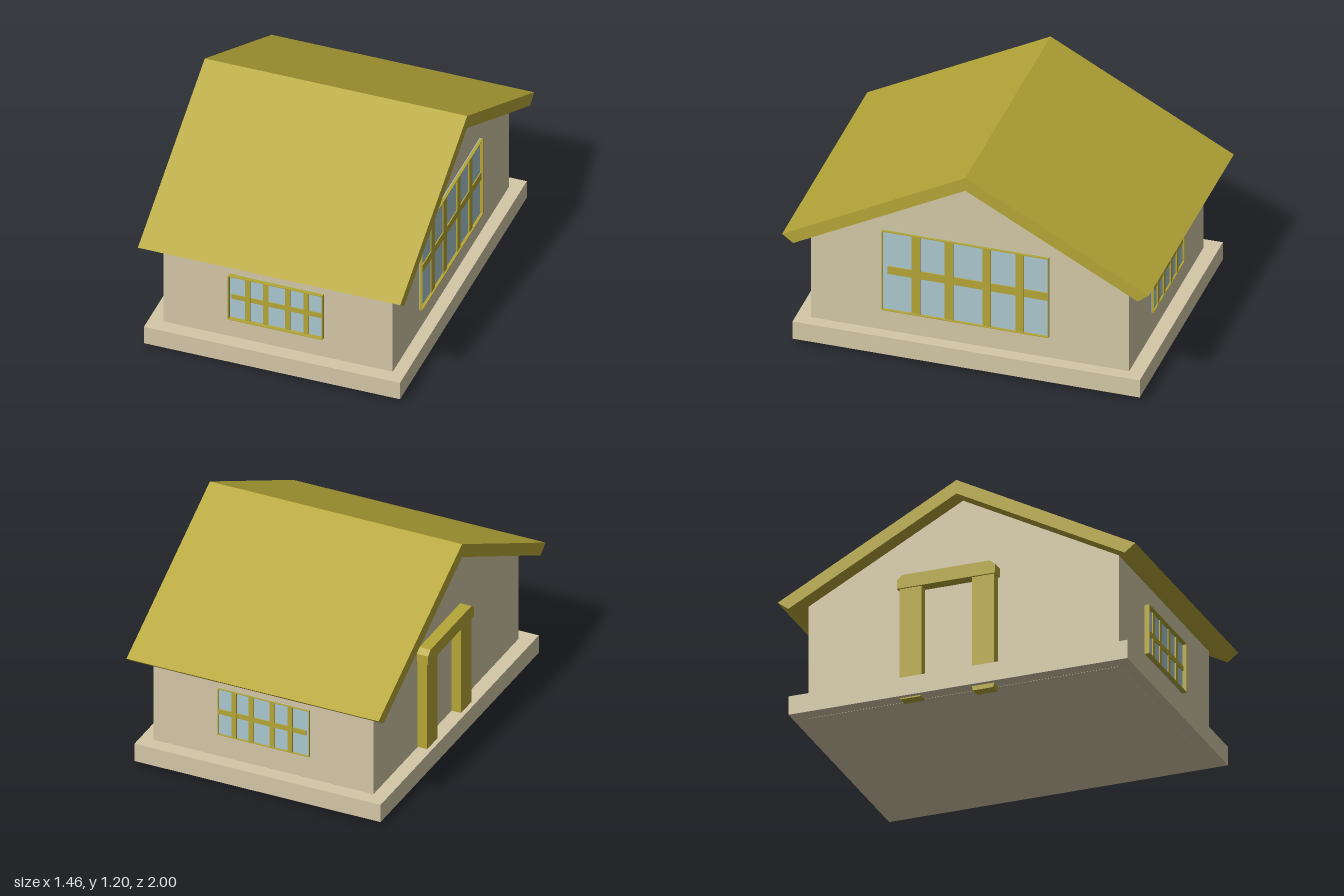
import * as THREE from 'three';

const mat = (color) => new THREE.MeshStandardMaterial({ color, flatShading: true });
const olive = mat(0xb5a637);
const cream = mat(0xd3c7a6);
const glass = mat(0xaac7cf);

function add(parent, name, geometry, material) {
  const mesh = new THREE.Mesh(geometry, material);
  mesh.name = name;
  parent.add(mesh);
  return mesh;
}

// Box given by its minimum and maximum corners
function box(parent, name, [x0, y0, z0], [x1, y1, z1], material) {
  const mesh = add(parent, name, new THREE.BoxGeometry(x1 - x0, y1 - y0, z1 - z0), material);
  mesh.position.set((x0 + x1) / 2, (y0 + y1) / 2, (z0 + z1) / 2);
  return mesh;
}

// Outline of [z, y] points extruded along x from x0 to x1
function alongX(points, x0, x1) {
  const shape = new THREE.Shape(points.map(([z, y]) => new THREE.Vector2(-z, y)));
  const g = new THREE.ExtrudeGeometry(shape, { depth: x1 - x0, bevelEnabled: false });
  return g.rotateY(Math.PI / 2).translate(x0, 0, 0);
}

// Window in its own plane: u to the right, y up, facing +z
function makeWindow(name, { u0, u1, y0, y1, depth, bars, barWidth, crossY, cross }) {
  const group = new THREE.Group();
  group.name = name;
  const t = 0.004;
  box(group, 'glass', [u0, y0, -0.01], [u1, y1, 0.004], glass);
  // Thin raised rim
  box(group, 'rimLeft', [u0, y0, -0.01], [u0 + t, y1, depth], olive);
  box(group, 'rimRight', [u1 - t, y0, -0.01], [u1, y1, depth], olive);
  box(group, 'rimBottom', [u0 + t, y0, -0.01], [u1 - t, y0 + t, depth], olive);
  box(group, 'rimTop', [u0 + t, y1 - t, -0.01], [u1 - t, y1, depth], olive);
  // Glazing bars
  for (const u of bars) {
    box(group, 'verticalBar', [u - barWidth / 2, y0 + t, 0], [u + barWidth / 2, y1 - t, 0.011], olive);
  }
  box(group, 'crossBar', [cross[0], crossY - barWidth / 2, 0], [cross[1], crossY + barWidth / 2, 0.010], olive);
  return group;
}

export function createModel() {
  const house = new THREE.Group();
  house.name = 'house';

  // Plinth and gabled walls
  box(house, 'plinth', [-0.715, 0.025, -0.945], [0.705, 0.13, 0.95], cream);
  const wall = [[-0.865, 0.024], [-0.865, 0.665], [0, 1.126], [0.87, 0.663], [0.87, 0.024]];
  add(house, 'walls', alongX(wall, -0.635, 0.635), cream);

  // Roof slab with square-cut eaves
  const roof = [[-1, 0.67], [-0.94, 0.625], [0, 1.125], [0.94, 0.625], [1, 0.67], [0, 1.203]];
  add(house, 'roof', alongX(roof, -0.73, 0.725), olive);

  // Front and back windows
  const small = {
    u0: -0.27, u1: 0.255, y0: 0.255, y1: 0.535, depth: 0.028,
    bars: [-0.165, -0.065, 0.055, 0.158], barWidth: 0.028, crossY: 0.395, cross: [-0.255, 0.251],
  };
  const front = makeWindow('frontWindow', small);
  front.position.z = 0.87;
  const back = makeWindow('backWindow', { ...small, u0: -0.257, u1: 0.27, depth: 0.014 });
  back.rotation.y = Math.PI;
  back.position.set(0, 0.01, -0.865);

  // Large window in the left gable, where u runs towards -z
  const gable = makeWindow('gableWindow', {
    u0: -0.48, u1: 0.43, y0: 0.26, y1: 0.745, depth: 0.02,
    bars: [-0.295, -0.115, 0.09, 0.27], barWidth: 0.046, crossY: 0.505, cross: [-0.45, 0.426],
  });
  gable.rotation.y = Math.PI / 2;
  gable.position.x = 0.635;
  house.add(front, back, gable);

  // Door frame on the right gable: posts with tapered feet and a chamfered lintel
  const door = new THREE.Group();
  door.name = 'doorFrame';
  for (const [z0, z1, foot] of [[0.07, 0.195, 0], [-0.335, -0.212, 0.018]]) {
    const c = 0.006;
    const post = [[z0 + c, foot], [z0, foot + 0.02], [z0, 0.67], [z1, 0.67], [z1, foot + 0.02], [z1 - c, foot]];
    add(door, 'doorPost', alongX(post, -0.69, -0.63), olive);
  }
  const lintel = [[-0.345, 0.65], [-0.345, 0.7], [-0.315, 0.725], [0.175, 0.725], [0.205, 0.7], [0.205, 0.65]];
  add(door, 'lintel', alongX(lintel, -0.7, -0.63), olive);
  house.add(door);

  return house;
}
